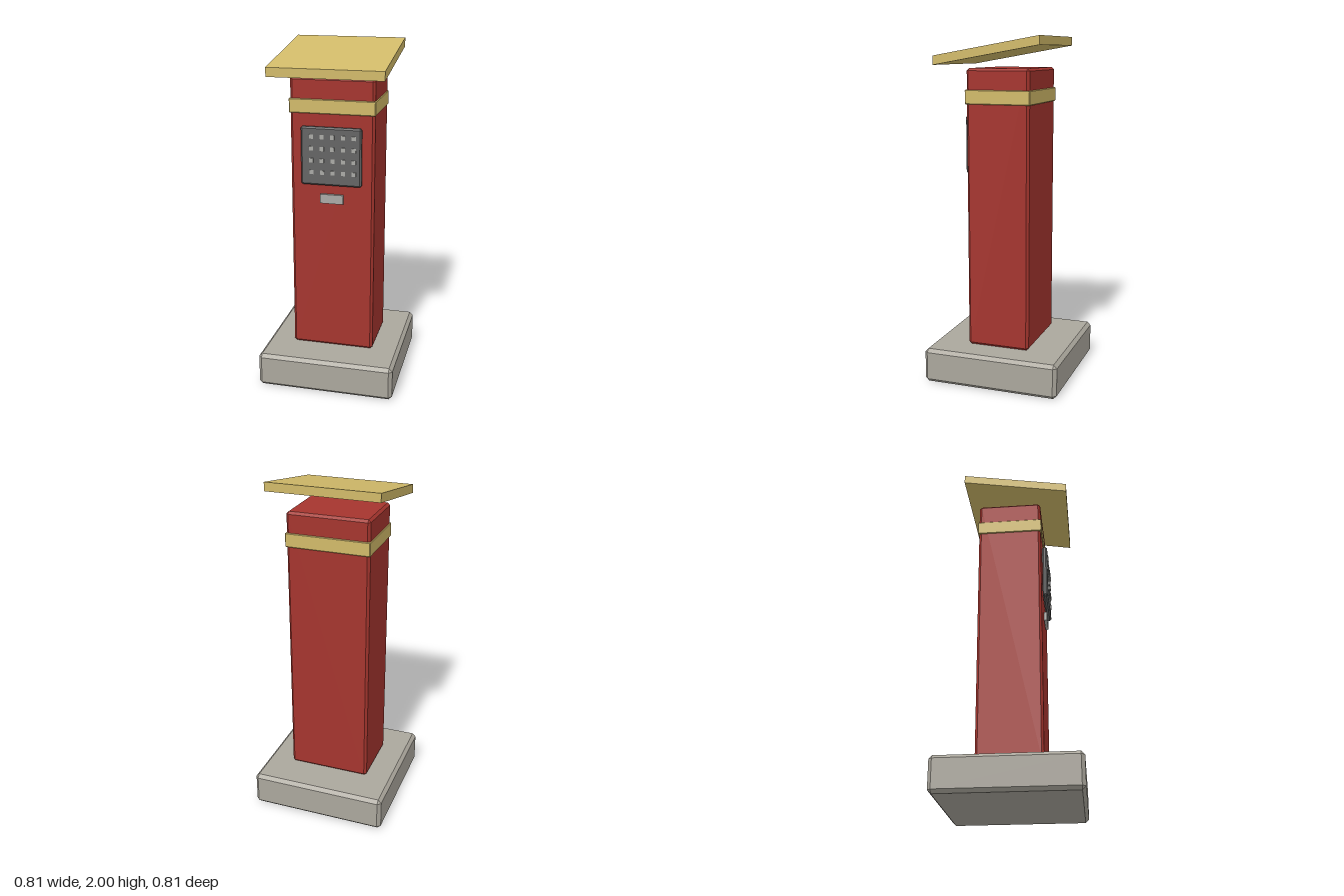
import * as THREE from 'three';
import { ConvexGeometry } from 'three/addons/geometries/ConvexGeometry.js';

const mat = (name, color) => {
  const m = new THREE.MeshStandardMaterial({ color });
  m.name = name;
  return m;
};

// Box with every edge cut at 45 degrees
function chamferBox(w, h, d, c) {
  const points = [];
  for (const x of [-w / 2, w / 2]) for (const y of [-h / 2, h / 2]) for (const z of [-d / 2, d / 2]) {
    const sx = Math.sign(x) * c, sy = Math.sign(y) * c, sz = Math.sign(z) * c;
    points.push(
      new THREE.Vector3(x, y - sy, z - sz),
      new THREE.Vector3(x - sx, y, z - sz),
      new THREE.Vector3(x - sx, y - sy, z));
  }
  return new ConvexGeometry(points);
}

export function createModel() {
  const group = new THREE.Group();
  group.name = 'keypadPillar';
  const red = mat('red paint', 0xa5352e);
  const gold = mat('pale gold', 0xd1ba69);
  const stone = mat('warm stone', 0xaba79d);
  const dark = mat('dark grey', 0x646464);
  const light = mat('light grey', 0xaaaaa6);

  const add = (name, geometry, material, x, y, z) => {
    const mesh = new THREE.Mesh(geometry, material);
    mesh.name = name;
    mesh.position.set(x, y, z);
    group.add(mesh);
    return mesh;
  };

  // Base, pillar and collar
  add('plinth', chamferBox(0.806, 0.202, 0.806, 0.02), stone, 0, 0.101, 0);
  add('pillar', chamferBox(0.484, 1.62, 0.372, 0.014), red, 0, 1.014, 0);
  add('collarBand', chamferBox(0.494, 0.081, 0.386, 0.004), gold, 0, 1.664, 0);

  // Sloping roof with upright ends, profile drawn in (-z, y)
  const profile = new THREE.Shape([
    [-0.35, 1.842], [0.27, 1.95], [0.27, 2.0], [-0.35, 1.893],
  ].map(([a, b]) => new THREE.Vector2(a, b)));
  const roof = new THREE.ExtrudeGeometry(profile, { depth: 0.648, bevelEnabled: false });
  roof.translate(0, 0, -0.324).rotateY(Math.PI / 2);
  add('roof', roof, gold, 0, 0, 0);

  // Keypad panel with four rows of five buttons
  add('keypadPanel', chamferBox(0.348, 0.334, 0.03, 0.009), dark, 0, 1.387, 0.204);
  const button = new THREE.BoxGeometry(0.023, 0.024, 0.01);
  for (let row = 0; row < 4; row++) {
    for (let col = 0; col < 5; col++) {
      add('keypadButton', button, light, 0.01 + (col - 2) * 0.061, 1.5 - row * 0.068, 0.2185);
    }
  }

  // Small plate under the keypad
  add('cardPlate', new THREE.BoxGeometry(0.134, 0.053, 0.018), light, 0, 1.137, 0.197);

  return group;
}
